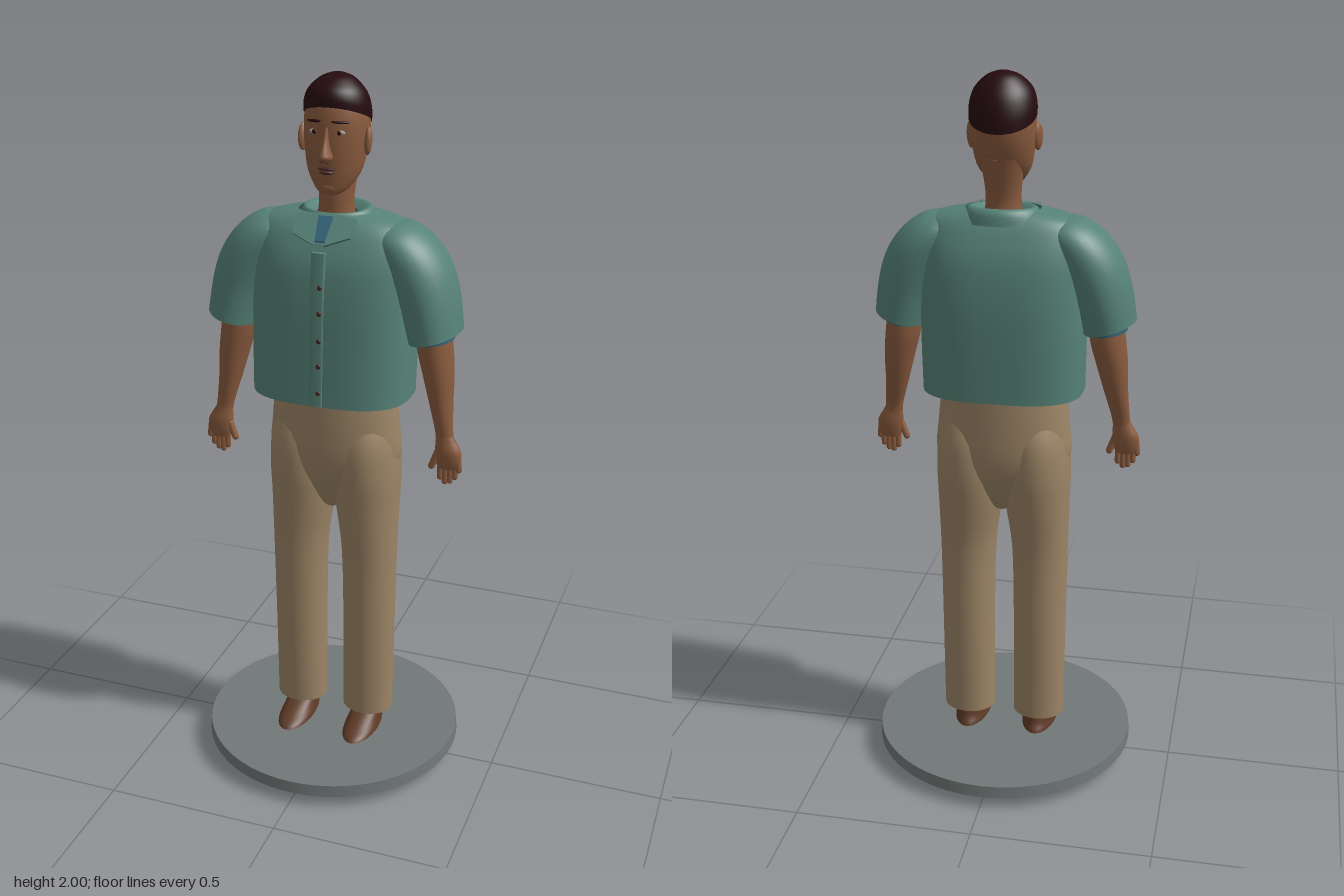
import * as THREE from 'three';

const mat = (name, color, side = THREE.FrontSide) => {
  const m = new THREE.MeshStandardMaterial({ color, side });
  m.name = name;
  return m;
};

// Smooth interpolation through section values
function spline(rows, i, t, k) {
  const v = (n) => rows[Math.min(rows.length - 1, Math.max(0, n))][k] ?? 0;
  const [a, b, c, d] = [v(i - 1), v(i), v(i + 1), v(i + 2)];
  return b + 0.5 * t * (c - a + t * (2 * a - 5 * b + 4 * c - d + t * (3 * (b - c) + d - a)));
}

// Skin over horizontal oval sections, bottom to top:
// [y, centre x, centre z, radius x, radius z, tilt along x, tilt along z]
function loft(rows, { n = 32, sub = 4, power = 2, caps = true, side = 1 } = {}) {
  const rings = [];
  for (let i = 0; i < rows.length - 1; i++)
    for (let s = 0; s < sub; s++)
      rings.push([0, 1, 2, 3, 4, 5, 6].map((k) => spline(rows, i, s / sub, k)));
  rings.push([0, 1, 2, 3, 4, 5, 6].map((k) => rows.at(-1)[k] ?? 0));
  const pos = [], idx = [];
  const bend = (v) => Math.sign(v) * Math.abs(v) ** (2 / power);
  const addRing = ([y, cx, cz, rx, rz, tx, tz]) => {
    for (let j = 0; j < n; j++) {
      const a = (j / n) * Math.PI * 2;
      const dx = rx * bend(Math.cos(a)), dz = rz * bend(Math.sin(a));
      pos.push(side * (cx) + dx, y + tx * side * dx + tz * dz, cz + dz);
    }
  };
  rings.forEach(addRing);
  for (let i = 0; i < rings.length - 1; i++)
    for (let j = 0; j < n; j++) {
      const a = i * n + j, c = i * n + ((j + 1) % n), b = a + n, d = c + n;
      idx.push(a, b, c, b, d, c);
    }
  if (caps)
    for (const top of [false, true]) {
      const r = top ? rings.at(-1) : rings[0];
      const base = pos.length / 3;
      addRing(r);
      pos.push(side * r[1], r[0], r[2]);
      for (let j = 0; j < n; j++) {
        const a = base + j, b = base + ((j + 1) % n);
        idx.push(base + n, top ? b : a, top ? a : b);
      }
    }
  const g = new THREE.BufferGeometry();
  g.setAttribute('position', new THREE.Float32BufferAttribute(pos, 3));
  g.setIndex(idx);
  g.computeVertexNormals();
  return g;
}

export function createModel() {
  const skin = mat('skin', 0x8a5b3e);
  const hair = mat('hair', 0x260b0f);
  const shirt = mat('shirt', 0x568277, THREE.DoubleSide);
  const under = mat('undershirt', 0x34637a, THREE.DoubleSide);
  const cloth = mat('trousers', 0x9c8566);
  const leather = mat('shoe leather', 0x5e3a26);
  const rubber = mat('sole', 0x5a5855);
  const stone = mat('stand', 0x707877);
  const white = mat('eye white', 0xa89c90);
  const dark = mat('button and lip', 0x4a2823);

  const model = new THREE.Group();
  model.name = 'standingMan';
  const add = (name, geo, m, x = 0, y = 0, z = 0, parent = model) => {
    const mesh = new THREE.Mesh(geo, m);
    mesh.name = name;
    mesh.position.set(x, y, z);
    parent.add(mesh);
    return mesh;
  };
  const blob = (name, m, p, r) => {
    const b = add(name, new THREE.SphereGeometry(1, 16, 10), m, ...p);
    b.scale.set(...r);
    return b;
  };

  // Round stand
  add('stand', new THREE.CylinderGeometry(0.374, 0.377, 0.035, 72), stone, 0, 0.0525, 0);

  // Trousers: hips joining two legs
  add('hips', loft([
    [0.79, 0, -0.017, 0.03, 0.05], [0.85, 0, -0.018, 0.13, 0.085], [0.94, 0, -0.018, 0.188, 0.118],
    [1.05, 0, -0.017, 0.184, 0.126], [1.17, 0, -0.017, 0.17, 0.127],
  ], { n: 40 }), cloth);

  // Shirt body, open at the hem
  add('shirtBody', loft([
    [1.14, 0, -0.008, 0.222, 0.158], [1.3, 0, -0.013, 0.224, 0.155], [1.42, 0, -0.015, 0.222, 0.15],
    [1.52, 0, -0.015, 0.22, 0.136], [1.59, 0, -0.016, 0.213, 0.108], [1.625, 0, -0.018, 0.185, 0.085],
    [1.645, 0, -0.02, 0.1, 0.066],
  ], { n: 48, power: 2.8, caps: false }), shirt);

  // Button placket and buttons
  const frontZ = (y) => 0.15 - 0.045 * (y - 1.14) - 0.15 * Math.max(0, y - 1.4) ** 1.5;
  add('placket', loft([1.142, 1.25, 1.35, 1.45, 1.52, 1.56].map((y) =>
    [y, 0, frontZ(y) - 0.004, 0.02, 0.007]), { n: 12, power: 4 }), shirt);
  for (const y of [1.18, 1.255, 1.325, 1.4, 1.47])
    blob('button', dark, [0.008, y, frontZ(y) + 0.002], [0.007, 0.007, 0.004]);

  // Collar band, folded points and undershirt at the throat
  add('collarBand', loft([
    [1.61, 0, -0.034, 0.115, 0.092, 0, -0.05], [1.64, 0, -0.034, 0.1, 0.085, 0, -0.06],
    [1.652, 0, -0.03, 0.085, 0.072, 0, -0.06], [1.635, 0, -0.025, 0.055, 0.055, 0, -0.06],
  ], { caps: false }), shirt);
  const throat = new THREE.Group();
  throat.name = 'openCollar';
  throat.position.set(0, 1.612, 0.082);
  throat.rotation.x = -0.75;
  model.add(throat);
  add('undershirtFront', new THREE.BoxGeometry(0.056, 0.075, 0.006), under, 0, 0.002, 0, throat);
  for (const s of [1, -1]) {
    const flap = new THREE.Shape([[0.022, 0.04], [0.085, 0.035], [0.08, -0.02], [0.014, -0.05]]
      .map(([x, y]) => new THREE.Vector2(s * x, y)));
    add('collarPoint', new THREE.ExtrudeGeometry(flap, { depth: 0.008, bevelEnabled: false }), shirt, 0, 0, 0, throat);
  }

  for (const s of [1, -1]) {
    const o = { side: s };
    const label = s > 0 ? 'left' : 'right';

    // Legs and shoes
    add(label + 'TrouserLeg', loft([
      [0.12, 0.105, -0.013, 0.075, 0.067], [0.4, 0.106, -0.013, 0.076, 0.076], [0.65, 0.105, -0.012, 0.08, 0.083],
      [0.8, 0.097, -0.017, 0.091, 0.102], [0.9, 0.095, -0.018, 0.095, 0.116], [1.0, 0.094, -0.018, 0.09, 0.115],
      [1.08, 0.092, -0.018, 0.07, 0.09],
    ], o), cloth);
    add(label + 'Sock', loft([[0.09, 0.104, -0.015, 0.036, 0.042], [0.16, 0.104, -0.015, 0.036, 0.042]], o), under);
    add(label + 'Shoe', loft([
      [0.03, 0.103, 0.03, 0.053, 0.122], [0.07, 0.103, 0.03, 0.051, 0.114], [0.092, 0.103, 0.014, 0.045, 0.085],
      [0.115, 0.103, -0.01, 0.04, 0.053],
    ], o), leather);
    add(label + 'Sole', loft([
      [0, 0.103, 0.03, 0.042, 0.108], [0.006, 0.103, 0.03, 0.053, 0.122], [0.02, 0.103, 0.03, 0.055, 0.125],
      [0.04, 0.103, 0.03, 0.053, 0.122],
    ], o), rubber);

    // Short sleeve with inner cuff
    add(label + 'Sleeve', loft([
      [1.33, 0.289, -0.002, 0.071, 0.1, 0.28], [1.42, 0.268, -0.009, 0.079, 0.106, 0.2],
      [1.5, 0.238, -0.013, 0.088, 0.109, 0.08], [1.56, 0.205, -0.015, 0.09, 0.104, 0],
      [1.6, 0.18, -0.016, 0.075, 0.086, 0], [1.623, 0.17, -0.017, 0.045, 0.05, 0], [1.628, 0.17, -0.017, 0.01, 0.01, 0],
    ], { ...o, caps: false }), shirt);
    add(label + 'Cuff', loft([
      [1.315, 0.285, -0.006, 0.053, 0.066, 0.15], [1.37, 0.278, -0.008, 0.055, 0.07, 0.15],
    ], o), under);

    // Arm and hand
    add(label + 'Arm', loft([
      [1.02, 0.329, 0.017, 0.026, 0.018], [1.06, 0.324, 0.014, 0.025, 0.02], [1.14, 0.31, 0.003, 0.033, 0.036],
      [1.22, 0.298, -0.005, 0.043, 0.05], [1.3, 0.284, -0.01, 0.049, 0.058], [1.42, 0.27, -0.01, 0.048, 0.058],
    ], o), skin);
    add(label + 'Palm', loft([
      [0.955, 0.339, 0.02, 0.028, 0.014], [0.975, 0.34, 0.02, 0.035, 0.019], [1.005, 0.338, 0.019, 0.037, 0.022],
      [1.035, 0.33, 0.017, 0.028, 0.019], [1.05, 0.326, 0.016, 0.024, 0.018],
    ], { ...o, n: 20 }), skin);
    [[0.318, 0.93], [0.332, 0.918], [0.346, 0.922], [0.36, 0.935]].forEach(([x, y]) =>
      add(label + 'Finger', new THREE.CapsuleGeometry(0.0085, 0.05, 4, 10), skin, s * x, y + 0.022, 0.021));
    for (const [x, tilt] of [[0.301, -0.35], [0.368, 0.12]]) {
      const digit = add(label + 'OuterDigit', new THREE.CapsuleGeometry(0.0095, 0.045, 4, 10), skin, s * x, 0.978, 0.022);
      digit.rotation.z = s * tilt;
    }

    // Ears, eyes and brows
    const ear = blob(label + 'Ear', skin, [s * 0.089, 1.832, -0.012], [0.011, 0.037, 0.02]);
    ear.rotation.set(-0.15, s * 0.3, 0);
    blob(label + 'Eye', white, [s * 0.034, 1.86, 0.051], [0.015, 0.007, 0.006]);
    blob(label + 'Iris', hair, [s * 0.034, 1.86, 0.055], [0.006, 0.006, 0.004]);
    const brow = blob(label + 'Brow', hair, [s * 0.036, 1.887, 0.052], [0.024, 0.004, 0.005]);
    brow.rotation.set(0, s * 0.4, s * -0.06);
  }

  // Neck and head
  add('neck', loft([
    [1.58, 0, -0.024, 0.06, 0.05], [1.65, 0, -0.021, 0.049, 0.042], [1.7, 0, -0.024, 0.049, 0.044],
    [1.78, 0, -0.038, 0.06, 0.052],
  ]), skin);
  add('head', loft([
    [1.695, 0, 0.028, 0.022, 0.018], [1.71, 0, 0.014, 0.045, 0.038], [1.75, 0, -0.006, 0.071, 0.062],
    [1.8, 0, -0.018, 0.082, 0.078], [1.85, 0, -0.024, 0.087, 0.085], [1.9, 0, -0.027, 0.085, 0.085],
    [1.94, 0, -0.028, 0.073, 0.074], [1.97, 0, -0.028, 0.045, 0.046],
  ], { n: 40 }), skin);
  add('hairCap', loft([
    [1.888, 0, -0.029, 0.089, 0.09, 0, 0.42], [1.92, 0, -0.029, 0.088, 0.089, 0, 0.3],
    [1.955, 0, -0.028, 0.076, 0.077, 0, 0.17], [1.985, 0, -0.027, 0.047, 0.048, 0, 0.06],
    [1.997, 0, -0.026, 0.02, 0.02], [2.0, 0, -0.026, 0.002, 0.002],
  ], { n: 40 }), hair);

  // Nose and mouth
  add('nose', loft([
    [1.785, 0, 0.058, 0.013, 0.016], [1.797, 0, 0.063, 0.019, 0.027], [1.812, 0, 0.062, 0.014, 0.025],
    [1.84, 0, 0.058, 0.008, 0.015], [1.875, 0, 0.054, 0.007, 0.007],
  ], { n: 16 }), skin);
  for (const s of [1, -1]) blob('nostril', dark, [s * 0.008, 1.787, 0.073], [0.005, 0.003, 0.005]);
  blob('upperLip', dark, [0, 1.767, 0.058], [0.024, 0.005, 0.011]);
  blob('lowerLip', dark, [0, 1.757, 0.057], [0.02, 0.006, 0.012]);
  blob('chin', skin, [0, 1.715, 0.04], [0.026, 0.018, 0.015]);

  return model;
}
